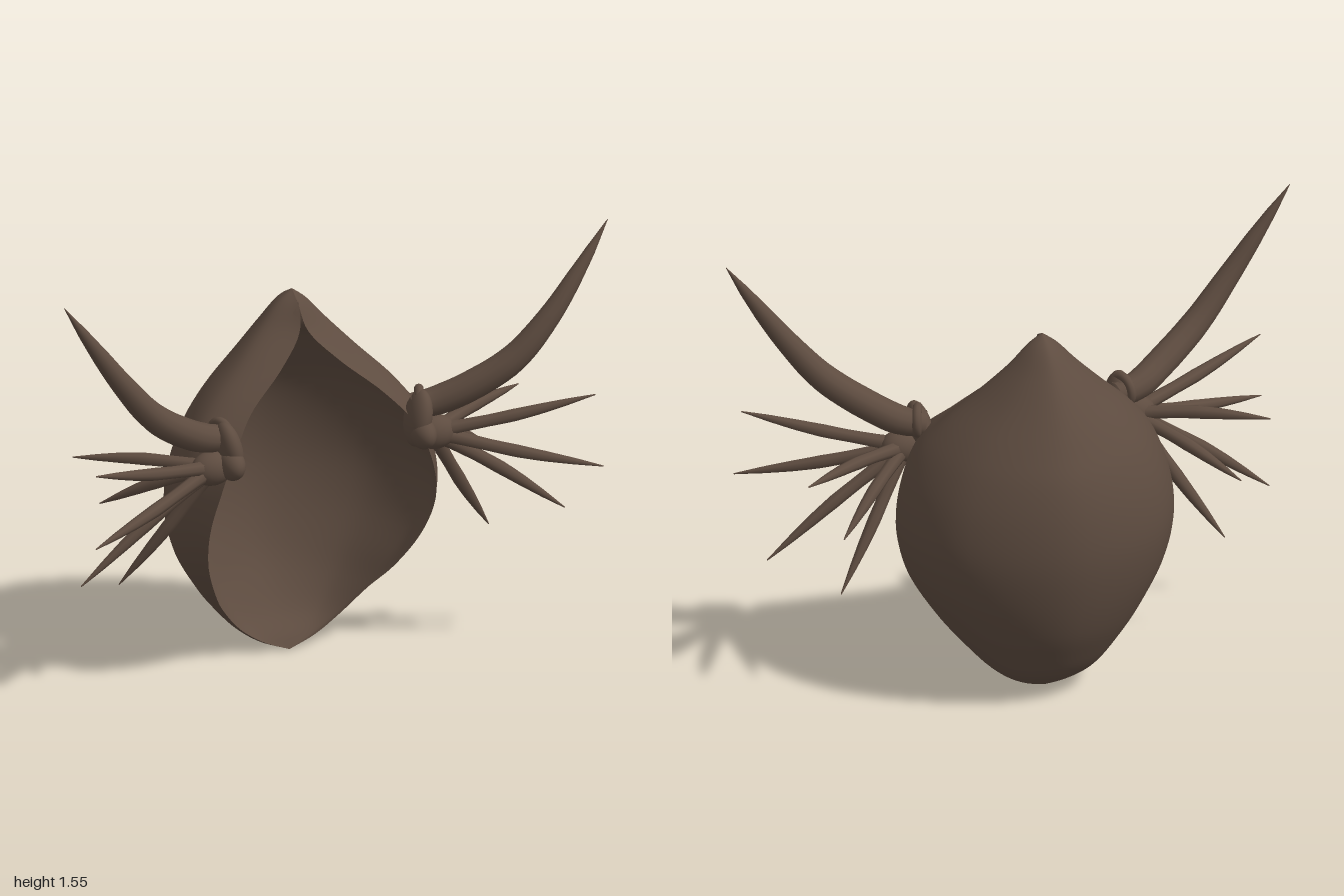
import * as THREE from 'three';
import { mergeVertices } from 'three/addons/utils/BufferGeometryUtils.js';

const V = (x, y, z) => new THREE.Vector3(x, y, z);

// Hood levels: y, half width, z of widest point, back z, rim x, rim z, inner back z
const LEVELS = [
  [0.0, 0, -0.09, -0.09, 0, -0.09, -0.09],
  [0.04, 0.105, -0.105, -0.155, 0.095, -0.09, -0.12],
  [0.1, 0.19, -0.105, -0.23, 0.18, -0.085, -0.19],
  [0.2, 0.285, -0.07, -0.295, 0.265, -0.04, -0.26],
  [0.3, 0.365, -0.03, -0.345, 0.33, 0.04, -0.31],
  [0.45, 0.452, 0.0, -0.39, 0.395, 0.13, -0.355],
  [0.6, 0.483, 0.01, -0.412, 0.415, 0.195, -0.375],
  [0.75, 0.462, 0.02, -0.405, 0.385, 0.225, -0.365],
  [0.88, 0.41, 0.03, -0.375, 0.33, 0.215, -0.33],
  [0.98, 0.335, 0.01, -0.33, 0.245, 0.145, -0.27],
  [1.1, 0.215, -0.02, -0.265, 0.105, 0.085, -0.18],
  [1.2, 0.12, -0.05, -0.2, 0.015, 0.03, -0.03],
  [1.28, 0.05, -0.065, -0.135, 0, -0.015, -0.015],
  [1.32, 0, -0.07, -0.07, 0, -0.07, -0.07],
];

// Smooth sheet through horizontal sections, each running rim - back - rim
function sheet(inner) {
  const U = 40, R = 64;
  const rows = LEVELS.map(([y, w, zs, zb, xr, zr, zi]) => {
    const back = inner ? zi : zb;
    const closed = inner && xr === 0;
    const wide = closed ? 0 : inner ? Math.max(w - 0.035, xr * 1.01) : w;
    const side = closed ? zr : inner ? Math.max(zs, back) : zs;
    const half = [
      [xr, zr],
      [wide, side],
      [wide * 0.74, back + (side - back) * 0.36],
    ];
    const pts = [
      ...half.map(([x, z]) => V(-x, y, z)),
      V(0, y, back),
      ...half.reverse().map(([x, z]) => V(x, y, z)),
    ];
    return new THREE.CatmullRomCurve3(pts).getPoints(U);
  });
  const pos = [], index = [];
  for (let u = 0; u <= U; u++) {
    const column = new THREE.CatmullRomCurve3(rows.map((r) => r[u]));
    for (const p of column.getPoints(R)) pos.push(p.x, p.y, p.z);
  }
  for (let u = 0; u < U; u++) {
    for (let v = 0; v < R; v++) {
      const a = u * (R + 1) + v, b = a + R + 1;
      if (inner) index.push(a, b, b + 1, a, b + 1, a + 1);
      else index.push(a, b + 1, b, a, a + 1, b + 1);
    }
  }
  const g = new THREE.BufferGeometry();
  g.setAttribute('position', new THREE.Float32BufferAttribute(pos, 3));
  g.setIndex(index);
  g.computeVertexNormals();
  return g;
}

// Tube along a path whose radius follows a list of values
function taper(points, radii, sides = 12) {
  const N = 32;
  const curve = new THREE.CatmullRomCurve3(points);
  let g = new THREE.TubeGeometry(curve, N, 1, sides);
  const p = g.attributes.position, q = V(0, 0, 0);
  for (let i = 0; i < p.count; i++) {
    const t = Math.floor(i / (sides + 1)) / N;
    const k = Math.min(t * (radii.length - 1), radii.length - 1.0001);
    const f = Math.floor(k);
    const r = THREE.MathUtils.lerp(radii[f], radii[f + 1], k - f);
    const c = curve.getPointAt(t);
    q.fromBufferAttribute(p, i).sub(c).multiplyScalar(r).add(c);
    p.setXYZ(i, q.x, q.y, q.z);
  }
  g.deleteAttribute('uv');
  g.deleteAttribute('normal');
  g = mergeVertices(g, 1e-5);
  g.computeVertexNormals();
  return g;
}

const SPIKE_TIPS = [
  [0.92, 0.95, 0.38], [0.82, 0.85, -0.04], [0.935, 0.7, 0.415],
  [0.89, 0.475, 0.19], [0.68, 0.39, 0.03], [0.705, 0.65, -0.075],
];

export function createModel() {
  const brown = new THREE.MeshStandardMaterial({ color: 0x5e4c40 });
  brown.name = 'dark brown';
  const shellBrown = brown.clone();
  shellBrown.side = THREE.DoubleSide;

  const model = new THREE.Group();
  model.name = 'spikedHood';
  const add = (parent, name, geometry, material = brown) => {
    const m = new THREE.Mesh(geometry, material);
    m.name = name;
    parent.add(m);
    return m;
  };

  // Hollow hood
  add(model, 'hoodOuter', sheet(false), shellBrown);
  add(model, 'hoodLining', sheet(true), shellBrown);

  // Horn and spike cluster on each side
  for (const s of [1, -1]) {
    const side = new THREE.Group();
    side.name = s > 0 ? 'leftCluster' : 'rightCluster';
    model.add(side);

    const collar = add(side, 'collar', new THREE.SphereGeometry(1, 24, 16));
    collar.scale.set(0.042, 0.1, 0.07);
    collar.position.set(s * 0.348, 0.89, 0.195);
    collar.rotation.z = -s * 0.2;

    const lobe = add(side, 'frontLobe', new THREE.SphereGeometry(1, 20, 14));
    lobe.scale.set(0.045, 0.055, 0.07);
    lobe.position.set(s * 0.352, 0.845, 0.222);

    const hub = add(side, 'hub', new THREE.SphereGeometry(1, 20, 14));
    hub.scale.set(0.075, 0.06, 0.055);
    hub.position.set(s * 0.41, 0.83, 0.195);

    const ring = add(side, 'hornRing', new THREE.TorusGeometry(0.045, 0.016, 10, 24));
    ring.position.set(s * 0.365, 0.935, 0.165);
    ring.rotation.y = s * 1.2;

    add(side, 'horn', taper(
      [[0.34, 0.92, 0.16], [0.42, 0.935, 0.18], [0.52, 0.985, 0.225], [0.66, 1.085, 0.28],
        [0.78, 1.225, 0.305], [0.9, 1.395, 0.307], [1, 1.545, 0.3]]
        .map(([x, y, z]) => V(s * x, y, z)),
      [0.045, 0.052, 0.052, 0.05, 0.045, 0.038, 0.03, 0.018, 0.001]));

    // Spikes fanning out from the hub, bowed slightly
    SPIKE_TIPS.forEach(([x, y, z], i) => {
      const a = V(s * 0.4, 0.83, 0.19), b = V(s * x, y, z);
      const mid = a.clone().lerp(b, 0.5);
      mid.y += i % 2 ? 0.012 : -0.008;
      add(side, 'spike', taper([a, mid, b], [0.03, 0.024, 0.022, 0.023, 0.019, 0.012, 0.002], 8));
    });
  }
  return model;
}
